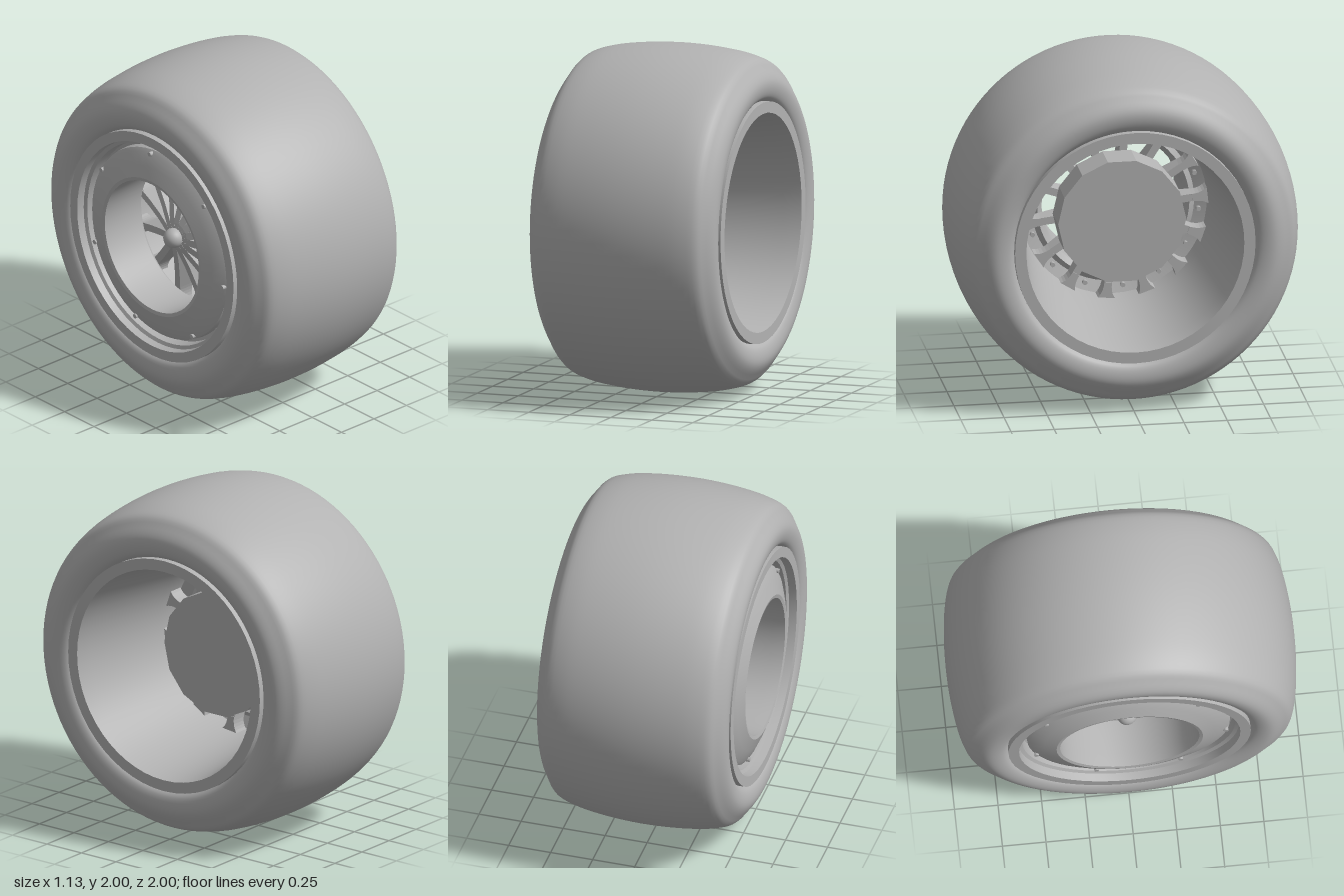
import * as THREE from 'three';
import { toCreasedNormals } from 'three/addons/utils/BufferGeometryUtils.js';

const grey = new THREE.MeshStandardMaterial({ color: 0xb2b2b2, side: THREE.DoubleSide });
grey.name = 'grey';

function add(parent, name, geometry) {
  const mesh = new THREE.Mesh(geometry, grey);
  mesh.name = name;
  parent.add(mesh);
  return mesh;
}

// Revolve [radius, axial x] points around the x axis
function revolve(points, sides, crease = 0.45) {
  const g = new THREE.LatheGeometry(points.map(([r, x]) => new THREE.Vector2(r, x)), sides);
  g.rotateZ(-Math.PI / 2);
  return toCreasedNormals(g, crease);
}

export function createModel() {
  const model = new THREE.Group();
  model.name = 'wheel';
  const wheel = new THREE.Group();
  wheel.name = 'wheelAssembly';
  wheel.position.y = 1;
  model.add(wheel);

  // Tyre: rounded shoulders and a gently crowned tread, mirrored across the middle
  const half = [[0.69, -0.51], [0.715, -0.545], [0.755, -0.562], [0.80, -0.565], [0.84, -0.552],
    [0.885, -0.522], [0.93, -0.485], [0.958, -0.41], [0.978, -0.31], [0.994, -0.16]];
  const tyre = [...half, [1, 0], ...half.map(([r, x]) => [r, -x]).reverse()];
  const curve = new THREE.SplineCurve(tyre.map(([r, x]) => new THREE.Vector2(r, x)));
  add(wheel, 'tyre', revolve(curve.getPoints(60).map((p) => [p.x, p.y]), 96, 0.8));

  // Rim: deep tapering barrel on the inner side, shallow stepped barrel on the face side
  add(wheel, 'rim', revolve([
    [0.695, 0.50], [0.695, 0.555], [0.63, 0.555], [0.615, 0.45], [0.58, 0.16],
    [0.55, -0.10], [0.54, -0.24], [0.46, -0.27], [0.57, -0.36], [0.58, -0.43],
    [0.605, -0.44], [0.61, -0.50], [0.63, -0.51], [0.635, -0.555], [0.695, -0.555], [0.695, -0.50],
  ], 56));

  // Face ring with a short tube running inwards
  add(wheel, 'faceRing', revolve([
    [0.585, -0.45], [0.58, -0.49], [0.56, -0.505], [0.49, -0.535], [0.42, -0.56], [0.40, -0.555],
    [0.40, -0.48], [0.41, -0.27], [0.44, -0.24], [0.47, -0.26], [0.45, -0.48], [0.57, -0.44], [0.585, -0.45],
  ].reverse(), 56));

  // Hub drum
  const count = 14;
  add(wheel, 'hubDrum', revolve([
    [0, -0.14], [0.35, -0.14], [0.37, -0.12], [0.37, 0.08], [0, 0.08],
  ], count, 0.3));

  // Centre nut on its stem
  add(wheel, 'nutStem', revolve([[0, -0.39], [0.045, -0.38], [0.07, -0.30], [0.10, -0.14]], 24));
  add(wheel, 'centreNut', new THREE.SphereGeometry(0.058, 24, 16)).position.x = -0.39;

  // Spoke blade, drawn with the axis along x and the radius along y
  const blade = new THREE.Shape([
    [-0.38, 0.02], [-0.36, 0.08], [-0.30, 0.22], [-0.25, 0.36], [-0.22, 0.46], [-0.22, 0.52],
    [-0.13, 0.52], [-0.13, 0.43], [-0.13, 0.30], [-0.22, 0.02],
  ].map(([x, y]) => new THREE.Vector2(x, y)));
  const bladeGeometry = new THREE.ExtrudeGeometry(blade, { depth: 0.044, bevelEnabled: false });
  bladeGeometry.translate(0, 0, -0.022);

  // Flared foot where the spoke meets the barrel
  const foot = new THREE.Shape();
  foot.moveTo(-0.022, 0.44);
  foot.quadraticCurveTo(-0.022, 0.50, -0.05, 0.53);
  foot.lineTo(0.05, 0.53);
  foot.quadraticCurveTo(0.022, 0.50, 0.022, 0.44);
  const footGeometry = new THREE.ExtrudeGeometry(foot, { depth: 0.09, bevelEnabled: false, curveSegments: 5 });
  footGeometry.rotateY(Math.PI / 2);
  footGeometry.translate(-0.215, 0, 0);

  const boltGeometry = new THREE.CylinderGeometry(0.014, 0.014, 0.03, 8);
  boltGeometry.rotateZ(Math.PI / 2);

  for (let i = 0; i < count; i++) {
    const spoke = new THREE.Group();
    spoke.name = 'spoke';
    spoke.rotation.x = -(0.11 + (i * Math.PI * 2) / count);
    wheel.add(spoke);
    add(spoke, 'spokeBlade', bladeGeometry);
    add(spoke, 'spokeFoot', footGeometry);
    // Small bolts around the outer edge of the face ring, on every other spoke
    if (i % 2 === 0) add(spoke, 'faceBolt', boltGeometry).position.set(-0.505, 0.56, 0);
    // Inner bolts between the spokes
    add(spoke, 'innerBolt', boltGeometry).position.set(-0.245, 0.495 * Math.cos(0.22), 0.495 * Math.sin(0.22));
  }
  return model;
}
